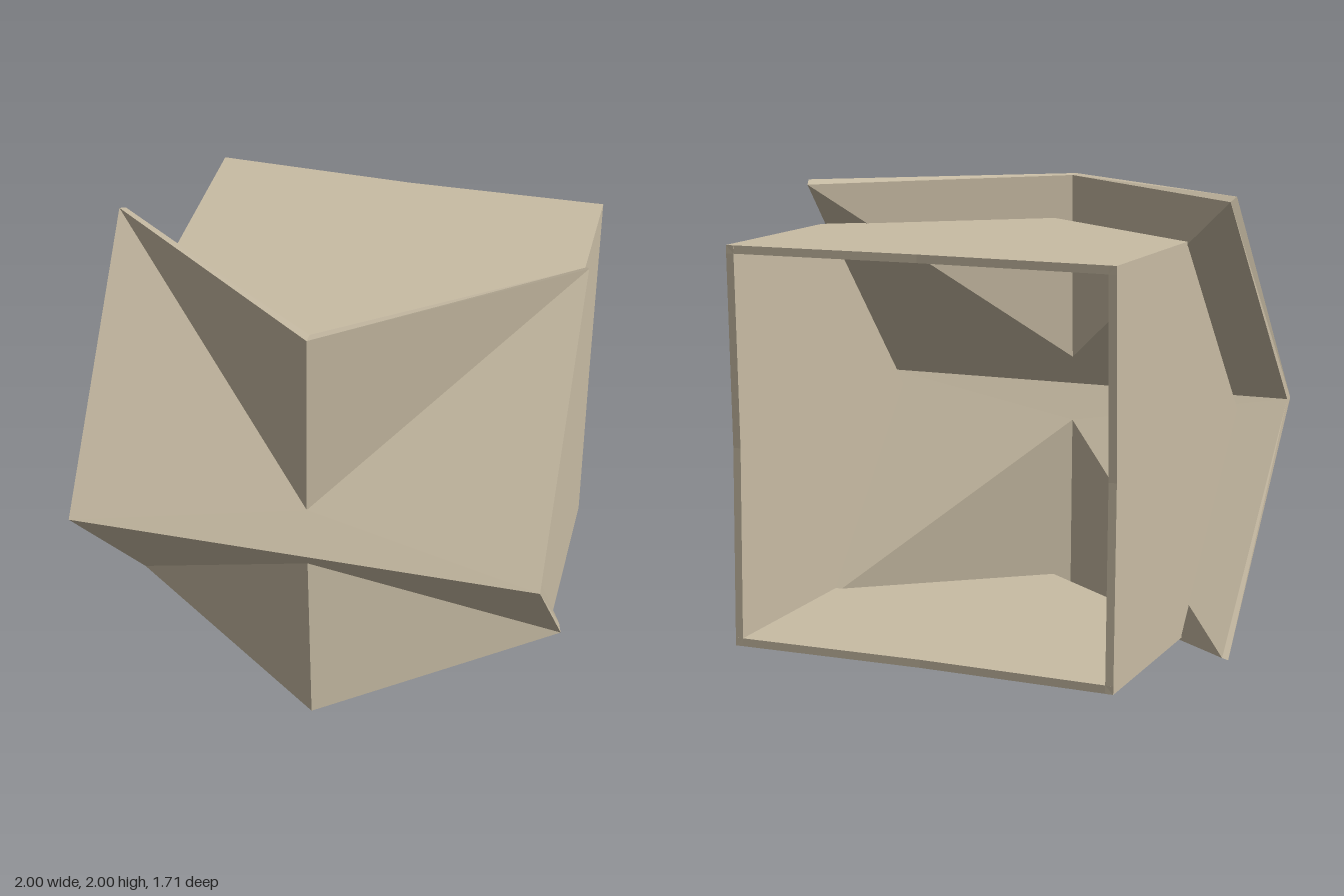
import * as THREE from 'three';

const material = new THREE.MeshStandardMaterial({ color: 0xc8bca4, flatShading: true, side: THREE.DoubleSide });
const T = 0.035; // panel thickness

// Flat panel cut from a 2D outline
function panel(name, points) {
  const shape = new THREE.Shape(points.map(([a, b]) => new THREE.Vector2(a, b)));
  const mesh = new THREE.Mesh(new THREE.ExtrudeGeometry(shape, { depth: T, bevelEnabled: false }), material);
  mesh.name = name;
  return mesh;
}

// Folded sheet: a horizontal ridge crossed by a vertical ridge
function foldedShell() {
  const outer = [
    [-1, 1, 0.85], [1, 1, 0.85],                        // ends of the horizontal ridge
    [1, 2, -0.03], [0.01, 2, 0.73], [-1, 2, -0.03],     // top edge
    [0, 1.145, 0.725],                                  // upper fold point
    [1, 0, -0.03], [0.01, 0, 0.73], [-1, 0, -0.03],     // bottom edge
    [0, 0.855, 0.725],                                  // lower fold point
  ];
  const inner = [
    [-1, 1, 0.8], [1, 1, 0.8],
    [0.985, 1.98, -0.07], [0.01, 1.995, 0.68], [-0.985, 1.98, -0.07],
    [0, 1.15, 0.67],
    [0.985, 0.02, -0.07], [0.01, 0.005, 0.68], [-0.985, 0.02, -0.07],
    [0, 0.85, 0.67],
  ];
  const n = outer.length;
  const upper = [[0, 1, 5], [1, 2, 5], [0, 5, 4], [5, 2, 3], [5, 3, 4]];
  const lowerOf = { 0: 0, 1: 1, 2: 6, 3: 7, 4: 8, 5: 9 };
  const faces = [...upper, ...upper.map(([a, b, c]) => [lowerOf[a], lowerOf[c], lowerOf[b]])];
  const index = [];
  for (const [a, b, c] of faces) index.push(a, b, c, a + n, c + n, b + n);

  // Rim joining the outer and inner skins
  const rim = [1, 2, 3, 4, 0, 8, 7, 6];
  rim.forEach((a, i) => {
    const b = rim[(i + 1) % rim.length];
    index.push(b, a, a + n, b, a + n, b + n);
  });

  const geometry = new THREE.BufferGeometry();
  geometry.setAttribute('position', new THREE.Float32BufferAttribute([...outer, ...inner].flat(), 3));
  geometry.setIndex(index);
  const flat = geometry.toNonIndexed();
  flat.computeVertexNormals();
  const mesh = new THREE.Mesh(flat, material);
  mesh.name = 'foldedFrontShell';
  return mesh;
}

export function createModel() {
  const model = new THREE.Group();
  model.name = 'foldedShellAndBox';
  model.add(foldedShell());

  const box = new THREE.Group();
  box.name = 'openBox';

  // Side walls, outline in (z, y), pointed at the front
  const side = [[-0.86, 0.07], [-0.02, 0.07], [0.75, 0.945], [0, 1.78], [-0.86, 1.8], [-0.84, 0.935]];
  for (const [name, x] of [['leftWall', 0.95], ['rightWall', -0.78 + T]]) {
    const wall = panel(name, side);
    wall.rotation.y = -Math.PI / 2;
    wall.position.x = x;
    box.add(wall);
  }

  // Top and bottom, outline in (x, z), pointed at the front
  const cap = [[-0.78, -0.86], [0.085, -0.84], [0.95, -0.86], [0.95, -0.01], [0.08, 0.63], [-0.78, -0.01]];
  for (const [name, y] of [['topPanel', 1.8], ['bottomPanel', 0.07 + T]]) {
    const plate = panel(name, cap);
    plate.rotation.x = Math.PI / 2;
    plate.position.y = y;
    box.add(plate);
  }
  model.add(box);
  return model;
}
